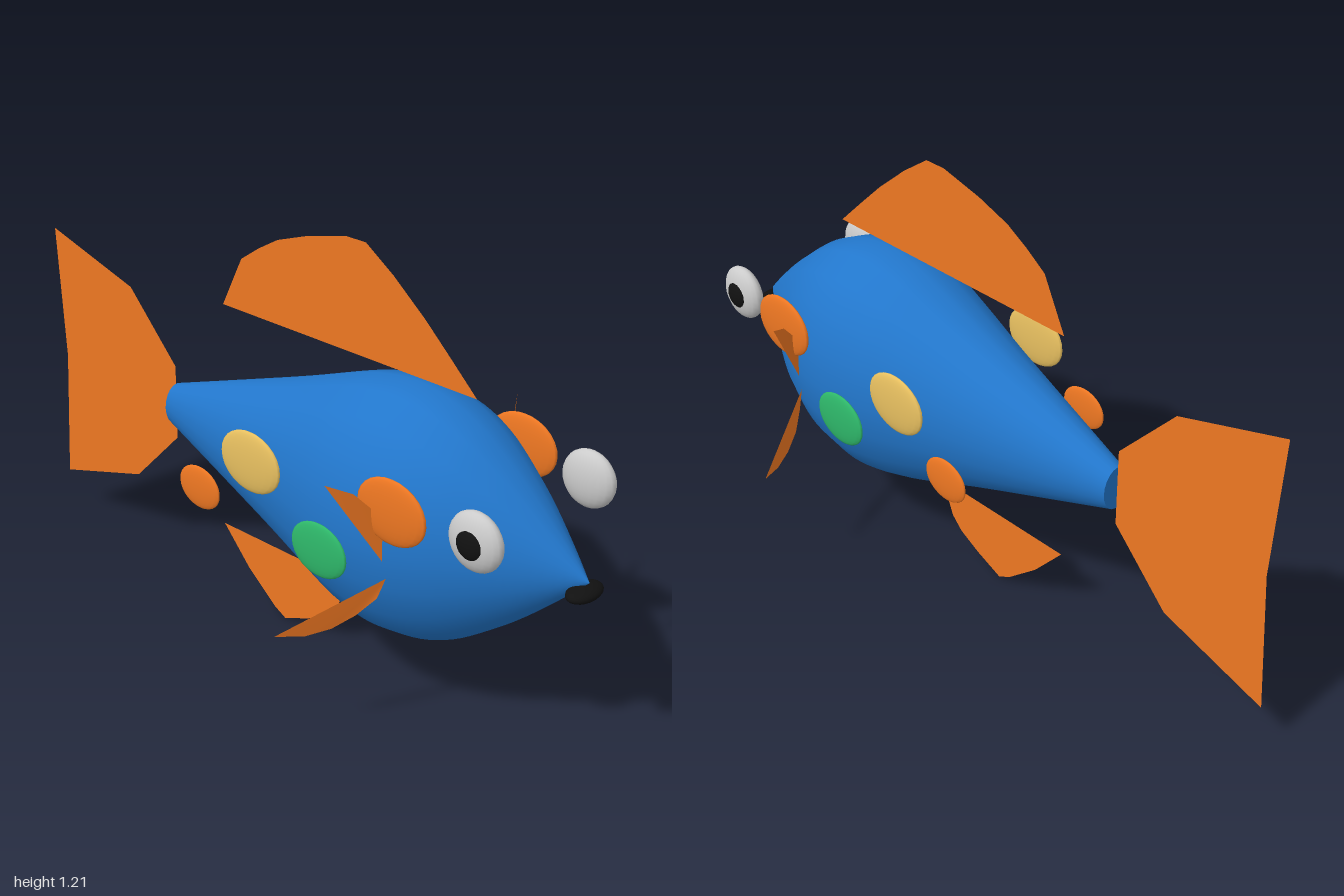
import * as THREE from 'three';

const ORANGE = 0xee7722, BLUE = 0x2277cc, YELLOW = 0xe8c060, GREEN = 0x2eb86a;
const GREY = 0xcccccc, BLACK = 0x111111;
const AXIS_Y = 0.537; // height of the body's long axis
const FLATTEN = 0.72; // body width relative to its height

const v2 = (list) => list.map(([x, y]) => new THREE.Vector2(x, y));

function part(name, geometry, color, side = THREE.FrontSide) {
  const mesh = new THREE.Mesh(geometry, new THREE.MeshStandardMaterial({ color, side }));
  mesh.name = name;
  return mesh;
}

// Flat fin in the x-y plane
function flatFin(name, outline) {
  return part(name, new THREE.ShapeGeometry(new THREE.Shape(v2(outline))), ORANGE, THREE.DoubleSide);
}

// Flat side fin: a fan over a few 3D points, mirrored by s
function sideFin(name, outline, s) {
  const geometry = new THREE.BufferGeometry().setFromPoints(
    outline.map(([x, y, z]) => new THREE.Vector3(x, y, z * s)));
  const index = [];
  for (let i = 1; i < outline.length - 1; i++) index.push(0, i, i + 1);
  geometry.setIndex(index);
  geometry.computeVertexNormals();
  return part(name, geometry, ORANGE, THREE.DoubleSide);
}

function ellipsoid(name, color, [x, y, z], [rx, ry, rz]) {
  const mesh = part(name, new THREE.SphereGeometry(1, 20, 14), color);
  mesh.position.set(x, y, z);
  mesh.scale.set(rx, ry, rz);
  return mesh;
}

export function createModel() {
  const fish = new THREE.Group();
  fish.name = 'fish';

  // Body: a lathe laid along x, narrowed in z
  const profile = new THREE.SplineCurve(v2([
    [0.063, -0.48], [0.147, -0.24], [0.232, 0], [0.308, 0.2], [0.338, 0.3], [0.353, 0.41],
    [0.338, 0.52], [0.297, 0.62], [0.237, 0.71], [0.163, 0.8], [0.07, 0.9], [0, 0.97],
  ])).getPoints(44);
  profile[profile.length - 1].x = 0;
  const bodyGeometry = new THREE.LatheGeometry(profile, 20);
  bodyGeometry.rotateZ(-Math.PI / 2).scale(1, 1, FLATTEN);
  const body = part('body', bodyGeometry, BLUE);
  body.position.y = AXIS_Y;
  fish.add(body);

  const capGeometry = new THREE.CircleGeometry(0.063, 20);
  capGeometry.rotateY(-Math.PI / 2).scale(1, 1, FLATTEN);
  const cap = part('bodyEnd', capGeometry, BLUE);
  cap.position.set(-0.48, AXIS_Y, 0);
  fish.add(cap);

  // Fins on the centre plane
  fish.add(flatFin('tailFin', [
    [-1, 0.942], [-0.975, 0.538], [-1, 0.137], [-0.665, 0.24],
    [-0.483, 0.426], [-0.483, 0.652], [-0.665, 0.845],
  ]));
  fish.add(flatFin('dorsalFin', [
    [-0.28, 0.9], [0.607, 0.9], [0.516, 0.986], [0.436, 1.06], [0.33, 1.146], [0.238, 1.208],
    [0.17, 1.208], [0.035, 1.174], [-0.07, 1.137], [-0.14, 1.096], [-0.206, 1.05],
  ]));
  fish.add(flatFin('bellyFin', [
    [-0.29, 0.217], [-0.19, 0.107], [-0.088, 0.023], [-0.045, 0], [0.045, 0.038],
    [0.115, 0.075], [0.152, 0.112], [0.195, 0.217],
  ]));

  // Mouth
  fish.add(ellipsoid('mouth', BLACK, [0.957, 0.508, 0], [0.037, 0.02, 0.06]));

  // Parts found on both flanks
  const spots = [
    [ORANGE, -0.112, 0.495, 0.077], [YELLOW, 0.083, 0.639, 0.107],
    [GREEN, 0.326, 0.476, 0.095], [ORANGE, 0.564, 0.674, 0.11],
  ];
  for (const s of [1, -1]) {
    const flank = new THREE.Group();
    flank.name = s > 0 ? 'frontFlank' : 'backFlank';
    for (const [color, x, y, r] of spots) {
      flank.add(ellipsoid('spot', color, [x, y, s * 0.256], [r, r * 0.8, r * 0.14]));
    }
    flank.add(ellipsoid('eye', GREY, [0.797, 0.672, s * 0.222], [0.079, 0.079, 0.034]));
    flank.add(ellipsoid('pupil', BLACK, [0.797, 0.672, s * 0.245], [0.04, 0.04, 0.018]));
    flank.add(sideFin('upperSideFin', [
      [0.527, 0.518, 0.243], [0.525, 0.613, 0.242], [0.512, 0.665, 0.265],
      [0.49, 0.716, 0.31], [0.452, 0.748, 0.371],
    ], s));
    flank.add(sideFin('lowerSideFin', [
      [0.532, 0.467, 0.233], [0.521, 0.414, 0.252], [0.489, 0.37, 0.294],
      [0.458, 0.342, 0.348], [0.425, 0.333, 0.409], [0.388, 0.347, 0.479],
    ], s));
    fish.add(flank);
  }
  return fish;
}
